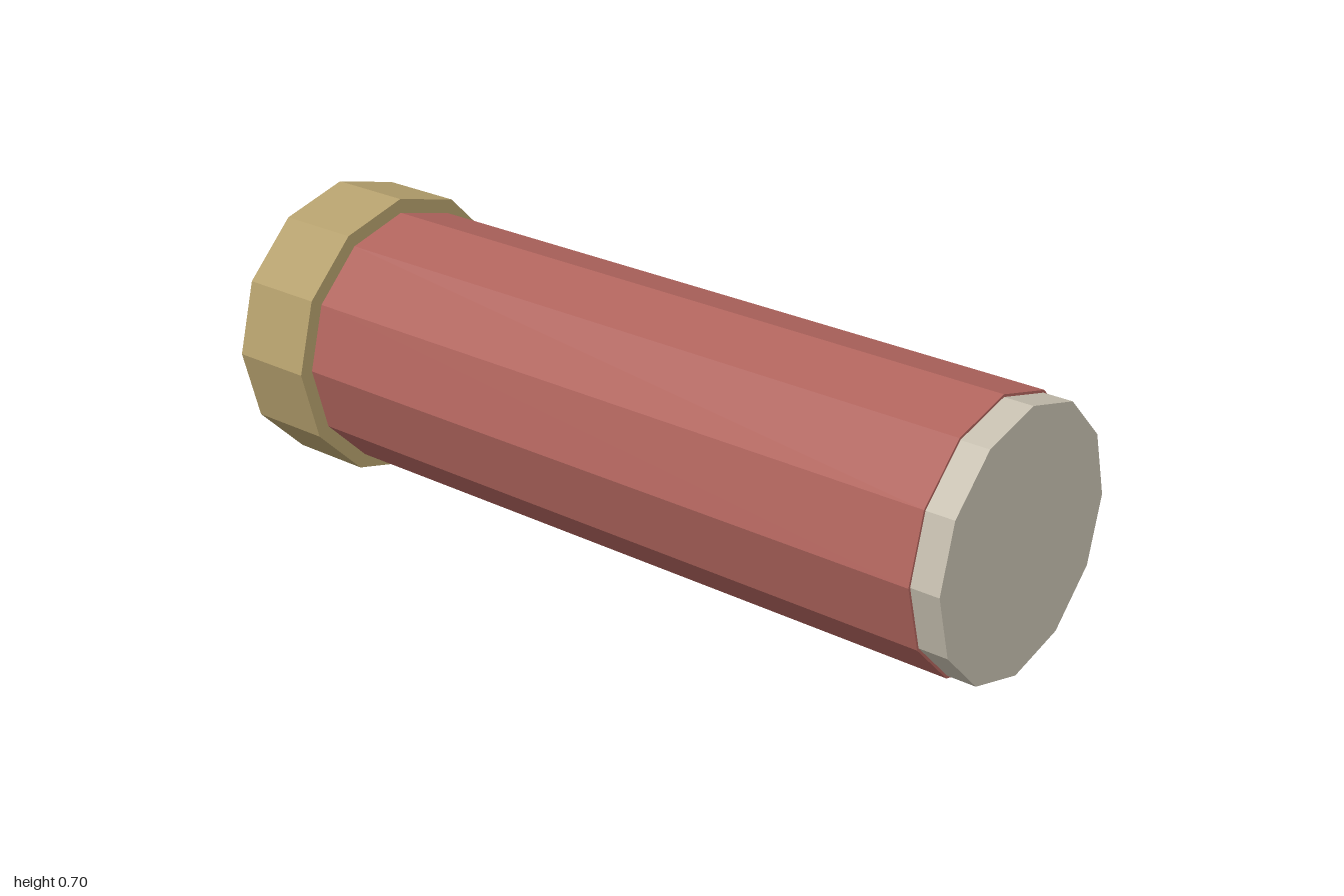
import * as THREE from 'three';

export function createModel() {
  const group = new THREE.Group();
  const paint = (name, color) => {
    const m = new THREE.MeshStandardMaterial({ color, flatShading: true });
    m.name = name;
    return m;
  };
  const red = paint('red casing', 0xb0645d);
  const brass = paint('brass', 0xb5a06d);
  const grey = paint('pale grey', 0xc6bfaf);

  // Twelve-sided cylinder lying along z
  const drum = (name, radius, z0, z1, material) => {
    const geometry = new THREE.CylinderGeometry(radius, radius, z1 - z0, 12);
    geometry.rotateX(Math.PI / 2);
    const mesh = new THREE.Mesh(geometry, material);
    mesh.name = name;
    mesh.position.set(0, 0.35, (z0 + z1) / 2);
    group.add(mesh);
  };

  drum('baseCap', 0.35, -1, -0.79, brass);
  drum('casing', 0.315, -0.79, 0.93, red);
  drum('frontPlug', 0.309, 0.93, 1, grey);

  return group;
}
